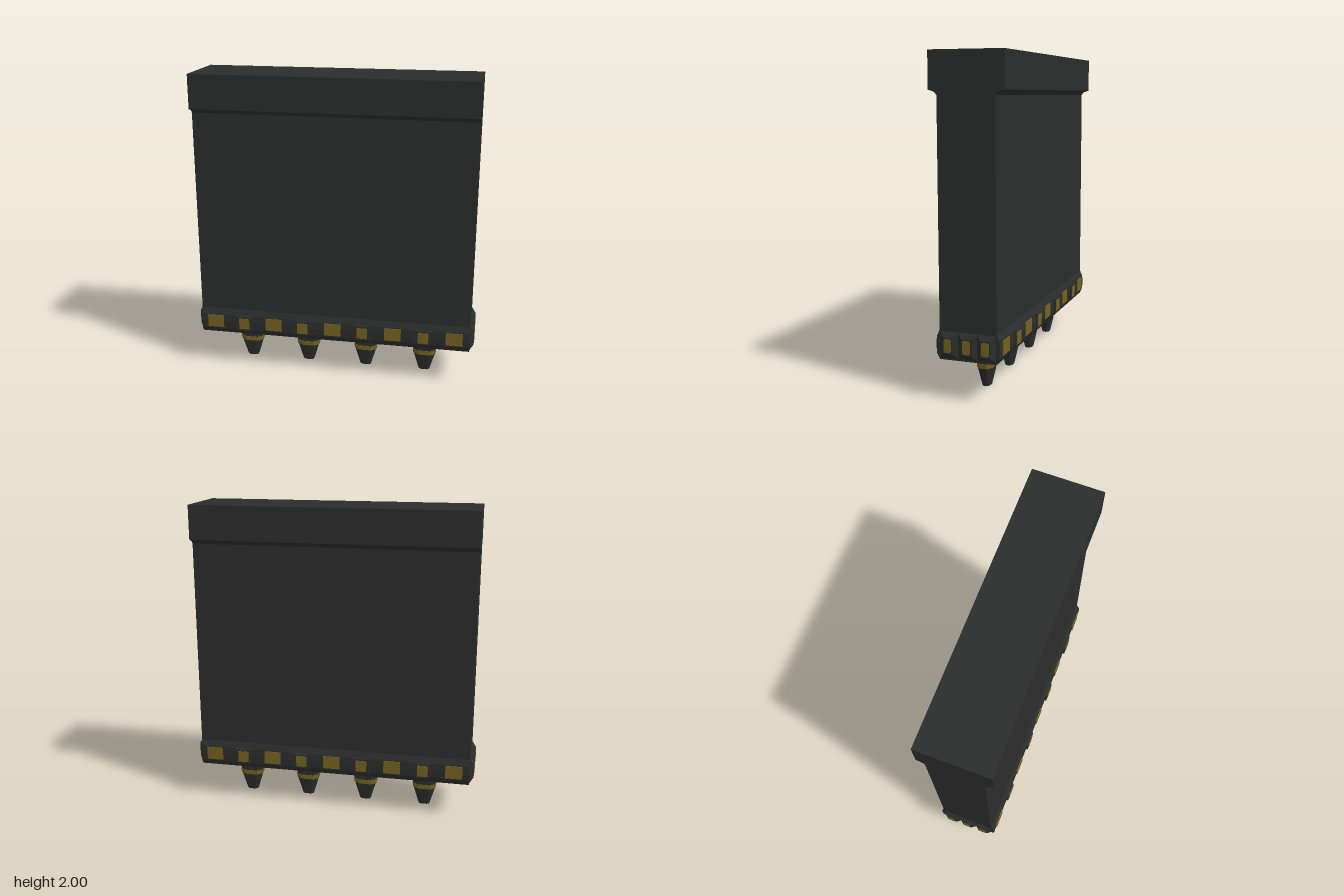
import * as THREE from 'three';

const dark = new THREE.MeshStandardMaterial({ color: 0x2b2d2c, flatShading: true });
const gold = new THREE.MeshStandardMaterial({ color: 0x75621f, flatShading: true });

// Loft along +z through chamfered rectangles [halfWidth, halfHeight, z, chamferX, chamferY]
function loft(sections) {
  const pos = [], idx = [], n = 8;
  for (const [w, h, z, cx = 0, cy = 0] of sections) {
    const ring = [[w, -h + cy], [w, h - cy], [w - cx, h], [-w + cx, h],
      [-w, h - cy], [-w, -h + cy], [-w + cx, -h], [w - cx, -h]];
    for (const [x, y] of ring) pos.push(x, y, z);
  }
  const last = (sections.length - 1) * n;
  for (let s = 0; s < last; s += n) {
    for (let i = 0; i < n; i++) {
      const a = s + i, b = s + (i + 1) % n;
      idx.push(a, b, b + n, a, b + n, a + n);
    }
  }
  for (let i = 1; i < n - 1; i++) {
    idx.push(0, i + 1, i, last, last + i, last + i + 1);
  }
  const g = new THREE.BufferGeometry();
  g.setAttribute('position', new THREE.Float32BufferAttribute(pos, 3));
  g.setIndex(idx);
  const flat = g.toNonIndexed();
  flat.computeVertexNormals();
  return flat;
}

function add(parent, name, geometry, material, x = 0, y = 0, z = 0) {
  const mesh = new THREE.Mesh(geometry, material);
  mesh.name = name;
  mesh.position.set(x, y, z);
  parent.add(mesh);
  return mesh;
}

export function createModel() {
  const model = new THREE.Group();
  model.name = 'wallPanel';

  // Panel: half profile (depth, height) mirrored and extruded across the width
  const half = [[0.175, 0.235], [0.193, 0.27], [0.197, 0.32], [0.193, 0.37], [0.175, 0.41],
    [0.175, 1.75], [0.19, 1.768], [0.227, 1.78], [0.227, 2]];
  const outline = [...half, ...half.map(([z, y]) => [-z, y]).reverse()];
  const shape = new THREE.Shape(outline.map(([z, y]) => new THREE.Vector2(z, y)));
  const panel = new THREE.ExtrudeGeometry(shape, { depth: 1.816, bevelEnabled: false });
  panel.translate(0, 0, -0.908).rotateY(Math.PI / 2);
  add(model, 'panel', panel, dark);

  // Lights along the long faces: wide flush ones and small ones on raised blocks
  const wideLight = new THREE.BoxGeometry(0.11, 0.085, 0.02);
  const smallLight = new THREE.BoxGeometry(0.07, 0.075, 0.01);
  const mount = loft([[0.054, 0.06, 0], [0.054, 0.048, 0.035]]);
  for (const turn of [0, Math.PI]) {
    const side = new THREE.Group();
    side.name = turn ? 'backLights' : 'frontLights';
    side.rotation.y = turn;
    for (let i = -2; i <= 2; i++) add(side, 'wideLight', wideLight, gold, i * 0.404, 0.322, 0.19);
    for (const x of [-0.606, -0.202, 0.202, 0.606]) {
      add(side, 'lightMount', mount, dark, x, 0.318, 0.17);
      add(side, 'smallLight', smallLight, gold, x, 0.318, 0.203);
    }
    model.add(side);
  }

  // Tapered blocks with lights on the narrow ends
  const endBlock = loft([[0.058, 0.08, 0], [0.03, 0.048, 0.027]]);
  const endLight = loft([[0.024, 0.041, 0, 0.007, 0.01], [0.024, 0.041, 0.012, 0.007, 0.01]]);
  for (const s of [1, -1]) {
    const end = new THREE.Group();
    end.name = s > 0 ? 'leftEnd' : 'rightEnd';
    end.rotation.y = s * Math.PI / 2;
    for (const x of [-0.116, 0, 0.116]) {
      add(end, 'endBlock', endBlock, dark, x, 0.325, 0.907);
      add(end, 'endLight', endLight, gold, x, 0.325, 0.924);
    }
    model.add(end);
  }

  // Tapered pegs underneath with a coloured ring
  const section = (w, d, y) => [w, d, -y, w * 0.45, d * 0.55];
  const peg = loft([section(0.093, 0.056, 0.24), section(0.085, 0.052, 0.215), section(0.079, 0.049, 0.19),
    section(0.074, 0.048, 0.135), section(0.068, 0.046, 0.11), section(0.036, 0.024, 0)]);
  const ring = loft([section(0.079, 0.051, 0.15), section(0.075, 0.05, 0.12)]);
  for (const x of [-0.606, -0.202, 0.202, 0.606]) {
    add(model, 'peg', peg, dark, x).rotation.x = Math.PI / 2;
    add(model, 'pegRing', ring, gold, x).rotation.x = Math.PI / 2;
  }
  return model;
}
